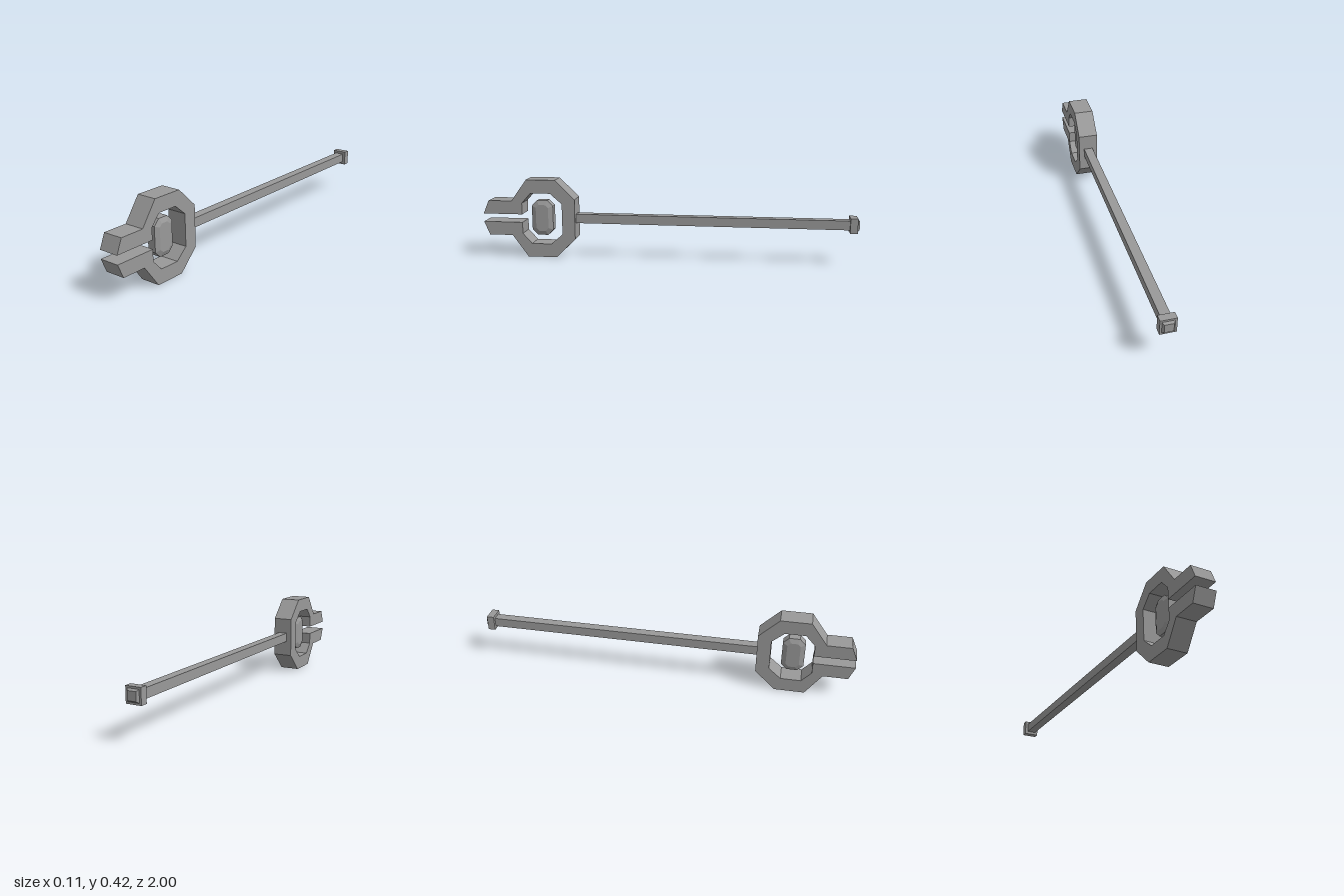
import * as THREE from 'three';

const MID = 0.211; // height of the long axis

// Upper half of the head, as [z, height above the axis]
const OUTER = [[1, 0.022], [0.97, 0.094], [0.842, 0.094], [0.758, 0.211], [0.6, 0.211], [0.495, 0.108]];
const INNER = [[0.565, 0.083], [0.628, 0.138], [0.735, 0.138], [0.785, 0.083], [0.785, 0.022]];

const flip = (pts) => pts.map(([z, y]) => [z, -y]).reverse();

// Extrudes a side profile (z, y) along x, centred on x = 0
function extrudeSide(points, depth, options) {
  const shape = new THREE.Shape(points.map(([z, y]) => new THREE.Vector2(z, y)));
  const geo = new THREE.ExtrudeGeometry(shape, { depth, bevelEnabled: false, ...options });
  return geo.translate(0, 0, -depth / 2).rotateY(-Math.PI / 2);
}

export function createModel() {
  const model = new THREE.Group();
  const material = new THREE.MeshStandardMaterial({ color: 0x999999, flatShading: true });
  const add = (name, geometry, z = 0) => {
    const mesh = new THREE.Mesh(geometry, material);
    mesh.name = name;
    mesh.position.set(0, MID, z);
    model.add(mesh);
  };
  const box = (w, z0, z1) => new THREE.BoxGeometry(w, w, z1 - z0).translate(0, 0, (z0 + z1) / 2);

  // Open octagonal head with two prongs
  add('head', extrudeSide([...OUTER, ...flip(OUTER), ...flip(INNER), ...INNER], 0.106));

  // Faceted gem floating inside the head
  const w = 0.058, h = 0.095, c = 0.03;
  const side = [[w, h - c], [w - c, h], [c - w, h], [-w, h - c]];
  add('gem', extrudeSide([...side, ...flip(side)], 0.044, {
    bevelEnabled: true, bevelSegments: 1, bevelThickness: 0.011, bevelSize: 0.024, bevelOffset: -0.024,
  }), 0.681);

  // Square shaft
  add('shaft', box(0.049, -0.96, 0.5));

  // End cap with a small tapered stud
  add('endCap', box(0.08, -0.989, -0.951));
  const stud = new THREE.CylinderGeometry(0.022 * Math.SQRT2, 0.031 * Math.SQRT2, 0.012, 4)
    .rotateY(Math.PI / 4).rotateX(-Math.PI / 2);
  add('endStud', stud, -0.994);

  return model;
}
